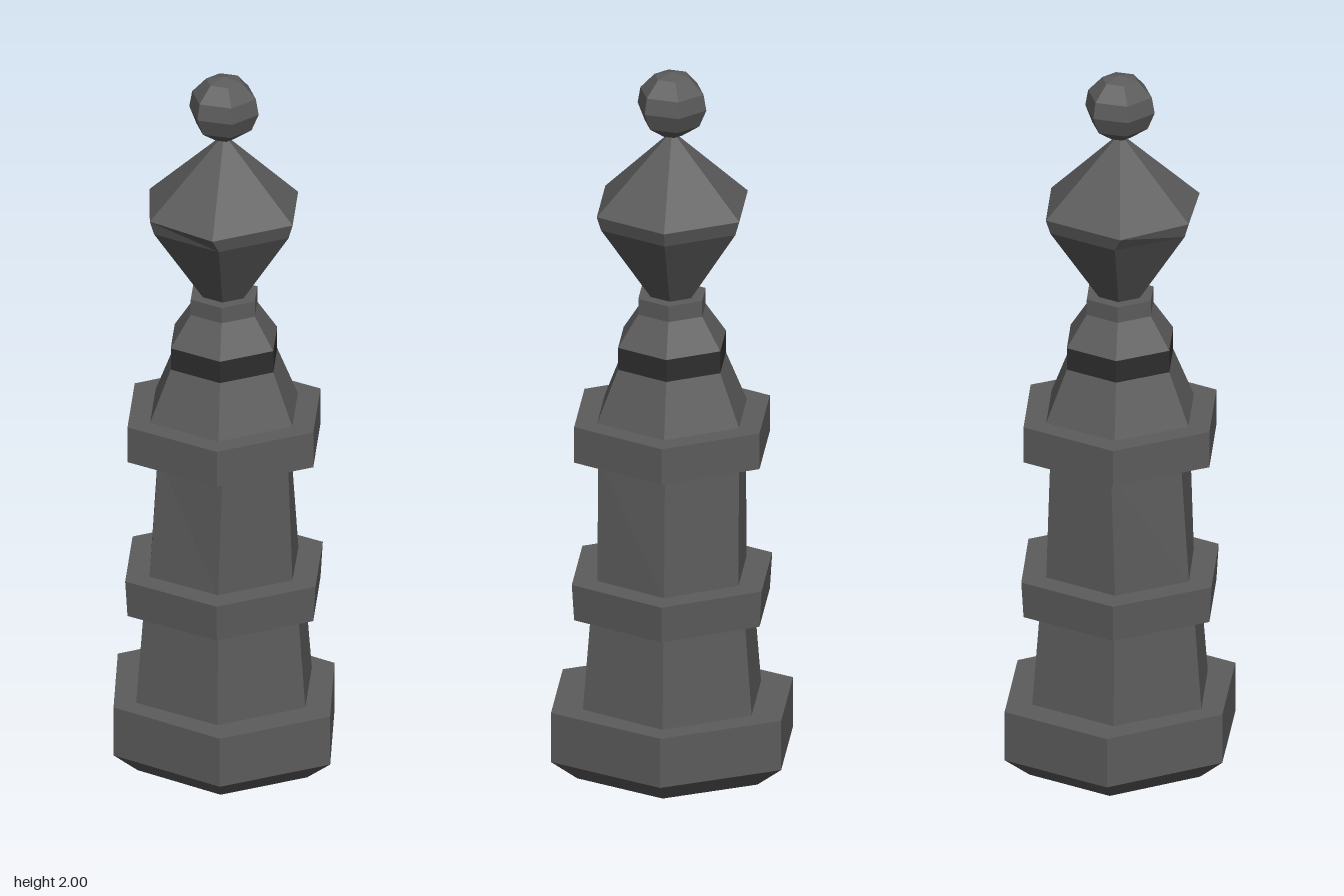
import * as THREE from 'three';

const stone = new THREE.MeshStandardMaterial({ color: 0x5c5c5c, flatShading: true });
stone.name = 'grey stone';
const darkStone = new THREE.MeshStandardMaterial({ color: 0x2e2e2e, flatShading: true });
darkStone.name = 'dark stone';

// Six-sided turned part from [radius, y] pairs, listed bottom to top, corners on the x axis
function hexPart(name, profile, material = stone, turn = 0) {
  const points = profile.map(([r, y]) => new THREE.Vector2(r, y));
  const geometry = new THREE.LatheGeometry(points, 6, Math.PI / 2 + turn);
  const mesh = new THREE.Mesh(geometry, material);
  mesh.name = name;
  return mesh;
}

export function createModel() {
  const model = new THREE.Group();
  model.name = 'chessBishop';

  // Foot, slightly stretched front to back
  const foot = hexPart('foot', [[0, 0], [0.26, 0], [0.332, 0.058], [0.332, 0.2], [0, 0.2]]);
  foot.scale.z = 1.085;
  model.add(foot);

  // Tapering column
  model.add(hexPart('lowerShaft', [[0.264, 0.2], [0.241, 0.47]]));
  const upperShaft = hexPart('upperShaft', [[0.224, 0.56], [0.197, 0.92]]);
  const shaft = upperShaft.geometry.attributes.position;
  for (let i = 0; i < shaft.count; i++) {
    // front and back stay upright while the sides lean in
    if (Math.abs(shaft.getZ(i)) > 0.05) shaft.setZ(i, Math.sign(shaft.getZ(i)) * 0.191);
  }
  model.add(upperShaft);

  // Two protruding bands
  model.add(hexPart('lowerBand', [[0, 0.462], [0.29, 0.462], [0.297, 0.565], [0, 0.565]]));
  model.add(hexPart('upperBand', [[0, 0.917], [0.29, 0.917], [0.29, 1.02], [0, 1.02]]));

  // Shoulder, dark collar and neck
  model.add(hexPart('shoulder', [[0.222, 1.02], [0.16, 1.165]]));
  model.add(hexPart('collar', [[0.16, 1.165], [0.16, 1.228]], darkStone));
  model.add(hexPart('neck', [[0.16, 1.228], [0.1, 1.315], [0.1, 1.36], [0, 1.36]]));

  // Pointed head, its widest corners a little off centre
  const head = hexPart('head', [[0.06, 1.355], [0.21, 1.575], [0.223, 1.615], [0, 1.83]]);
  const p = head.geometry.attributes.position;
  for (let i = 0; i < p.count; i++) {
    if (p.getY(i) > 1.6 && Math.abs(p.getZ(i)) > 0.1) {
      p.setX(i, p.getX(i) + (p.getX(i) < 0 ? -0.018 : 0));
    }
  }
  model.add(head);

  // Small faceted ball on top, twisted against the rest
  model.add(hexPart('finial', [
    [0, 1.815], [0.03, 1.82], [0.078, 1.852], [0.098, 1.9],
    [0.09, 1.945], [0.05, 1.988], [0, 2],
  ], stone, 0.29));

  return model;
}
